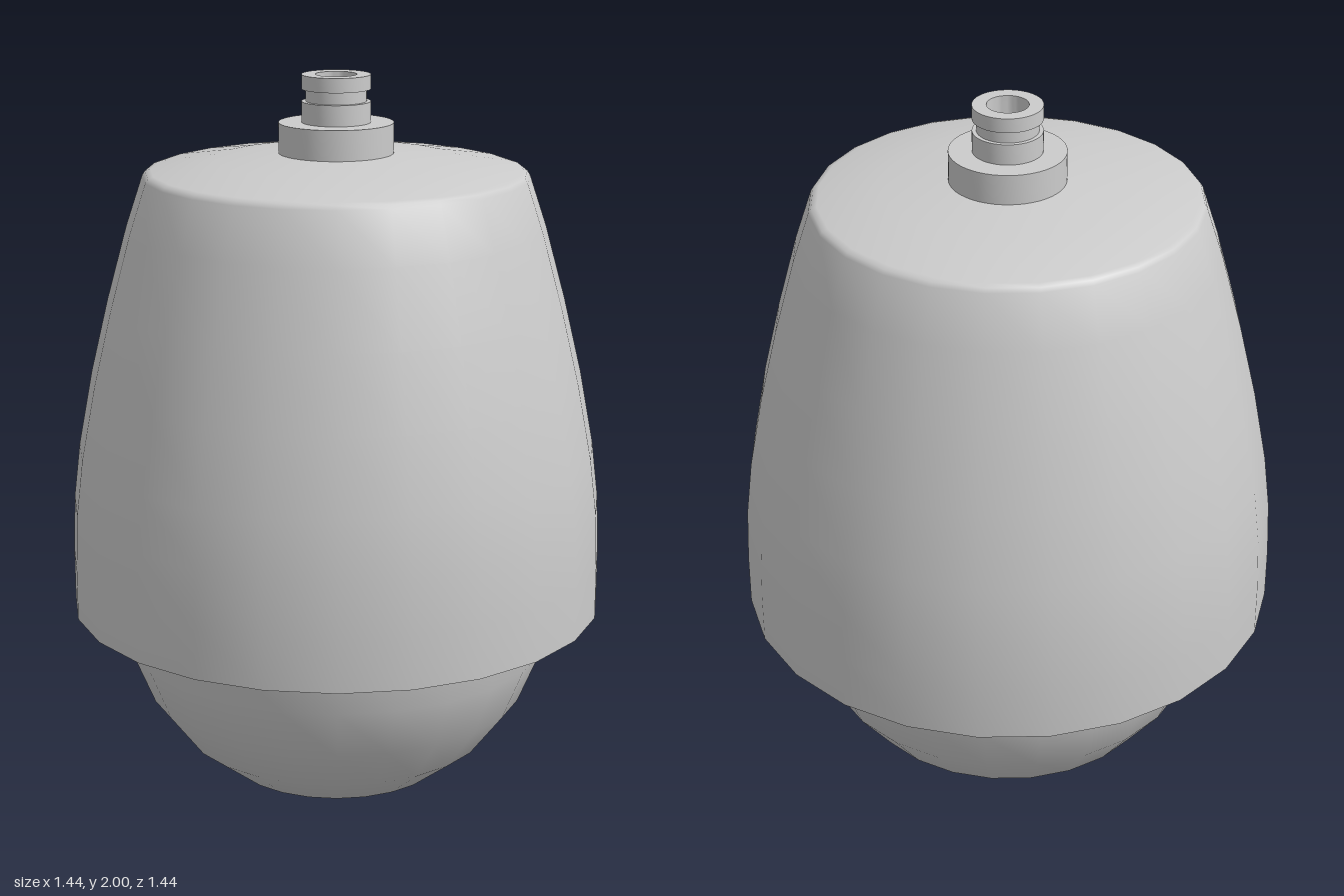
import * as THREE from 'three';
import { toCreasedNormals } from 'three/addons/utils/BufferGeometryUtils.js';

export function createModel() {
  const group = new THREE.Group();
  const material = new THREE.MeshStandardMaterial({ color: 0xcccccc });

  // Revolve a profile of [radius, height] points about the y axis
  const turn = (name, profile, segments, crease = 0.6) => {
    const points = profile.map(([r, y]) => new THREE.Vector2(r, y));
    const geometry = toCreasedNormals(new THREE.LatheGeometry(points, segments), crease);
    const mesh = new THREE.Mesh(geometry, material);
    mesh.name = name;
    group.add(mesh);
  };

  // Tapered housing with a shallow conical roof and a recessed floor
  turn('housing', [
    [0, 0.595], [0.715, 0.595], [0.715, 0.558], [0.722, 0.558],
    [0.722, 0.7], [0.716, 0.85], [0.698, 1.0], [0.66, 1.2], [0.612, 1.4],
    [0.557, 1.6], [0.512, 1.735], [0.505, 1.746], [0.49, 1.751],
    [0.32, 1.778], [0.15, 1.795], [0, 1.8],
  ], 24, 0.9);

  // Hemispherical window below the housing
  const R = 0.595;
  const dome = [];
  for (let i = 0; i <= 6; i++) {
    const a = (i * Math.PI) / 12;
    dome.push([R * Math.sin(a), R - R * Math.cos(a)]);
  }
  turn('dome', dome, 24);

  // Collar the mounting stem sits on
  turn('collar', [[0, 1.78], [0.152, 1.78], [0.152, 1.875], [0, 1.875]], 48);

  // Grooved hollow stem
  turn('stem', [
    [0.091, 1.87], [0.091, 1.93], [0.08, 1.93], [0.08, 1.962],
    [0.091, 1.962], [0.091, 2], [0.054, 2], [0.054, 1.875],
  ], 48);

  return group;
}
